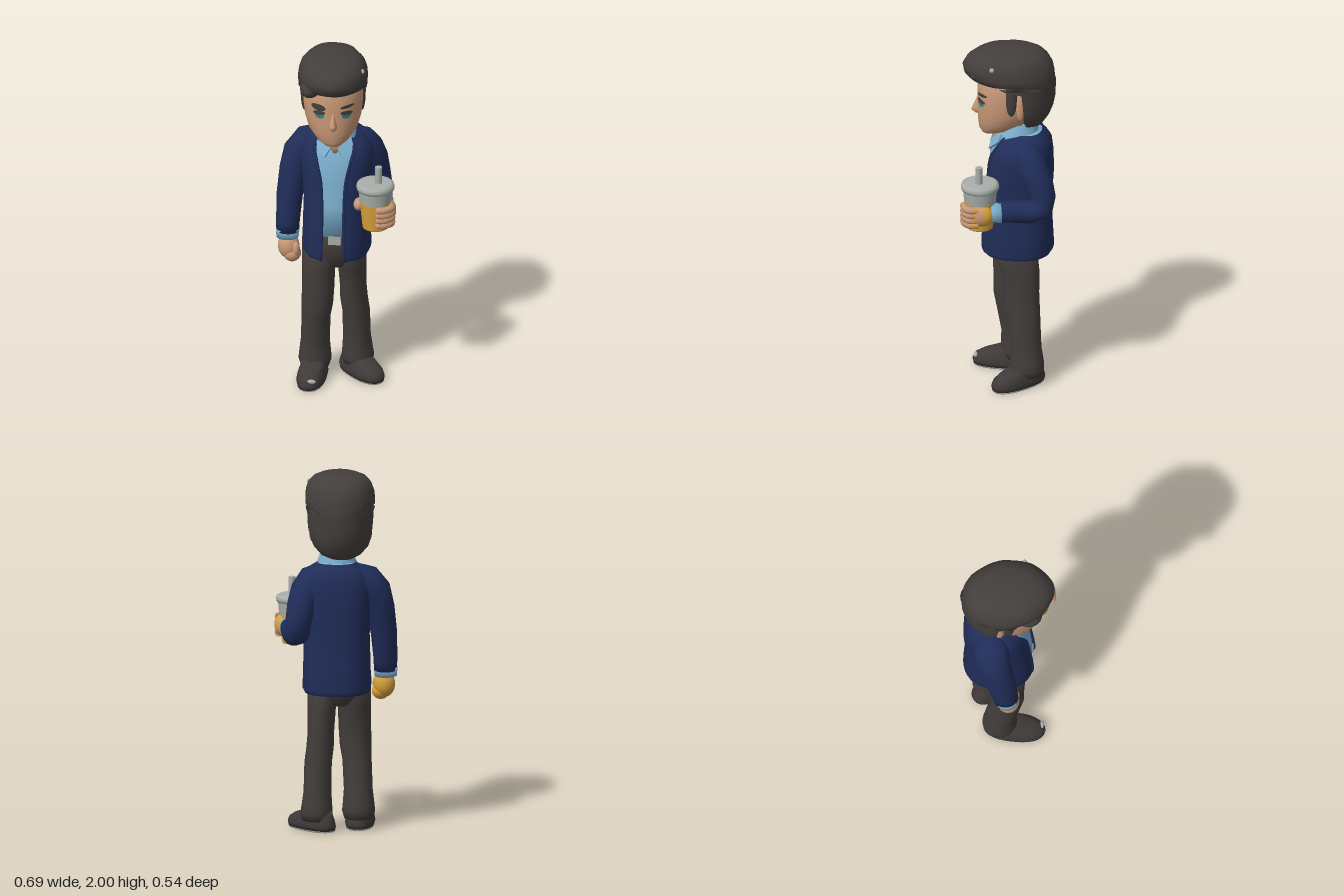
import * as THREE from 'three';
import { mergeVertices } from 'three/addons/utils/BufferGeometryUtils.js';

const mat = (name, color, side = THREE.DoubleSide) => {
  const m = new THREE.MeshStandardMaterial({ color, side });
  m.name = name;
  return m;
};

// Rings [x, y, z, rx, rz, gapAngle] joined into a smooth skin; gap leaves the front open.
function loft(rings, { n = 28, e = 1, bend = false, caps = true } = {}) {
  const list = caps
    ? [[...rings[0].slice(0, 3), 0, 0], ...rings, [...rings.at(-1).slice(0, 3), 0, 0]]
    : rings;
  const at = i => new THREE.Vector3(...list[Math.max(0, Math.min(list.length - 1, i))].slice(0, 3));
  const up = new THREE.Vector3(0, 1, 0), q = new THREE.Quaternion();
  const pow = v => Math.sign(v) * Math.abs(v) ** e;
  const pos = [], idx = [];
  list.forEach(([, , , rx, rz, gap = 0], i) => {
    if (bend) q.setFromUnitVectors(up, at(i + 1).sub(at(i - 1)).normalize());
    for (let j = 0; j <= n; j++) {
      const a = gap + (2 * Math.PI - 2 * gap) * j / n;
      const p = new THREE.Vector3(rx * pow(Math.sin(a)), 0, rz * pow(Math.cos(a)));
      pos.push(...p.applyQuaternion(q).add(at(i)).toArray());
      if (i && j) {
        const d = i * (n + 1) + j, c = d - 1, b = d - n - 1, o = b - 1;
        idx.push(o, b, d, o, d, c);
      }
    }
  });
  let g = new THREE.BufferGeometry();
  g.setAttribute('position', new THREE.Float32BufferAttribute(pos, 3));
  g.setIndex(idx);
  g = mergeVertices(g);
  g.computeVertexNormals();
  return g;
}

// Sorts faces into two material groups: front and rear facing.
function splitRear(g) {
  const sets = [[], []], ix = g.index.array, nor = g.attributes.normal;
  for (let i = 0; i < ix.length; i += 3) {
    const z = (nor.getZ(ix[i]) + nor.getZ(ix[i + 1]) + nor.getZ(ix[i + 2])) / 3;
    sets[z < -0.15 ? 1 : 0].push(ix[i], ix[i + 1], ix[i + 2]);
  }
  g.setIndex([...sets[0], ...sets[1]]);
  g.addGroup(0, sets[0].length, 0);
  g.addGroup(sets[0].length, sets[1].length, 1);
  return g;
}

export function createModel() {
  const root = new THREE.Group();
  const skin = mat('skin', 0xc99877), hair = mat('hair', 0x443f3d), navy = mat('navy cloth', 0x202d59);
  const blue = mat('light blue cloth', 0x7db0cf), dark = mat('dark trousers', 0x423d3b);
  const grey = mat('light grey', 0xa8aeaa), amber = mat('amber', 0xd6a03c), teal = mat('teal eye', 0x1f8a7c);
  const shoe = mat('dark shoe', 0x3f3a39);
  const add = (name, geo, m, parent = root) => {
    const mesh = new THREE.Mesh(geo, m);
    mesh.name = name;
    parent.add(mesh);
    return mesh;
  };
  const ball = (name, m, p, s, parent) => {
    const g = new THREE.SphereGeometry(1, 20, 14).scale(...s);
    const b = add(name, Array.isArray(m) ? splitRear(g) : g, m, parent);
    b.position.set(...p);
    return b;
  };

  // Trousers
  add('rightLeg', loft([[-.13, .06, -.03, .08, .09], [-.13, .1, -.03, .092, .097], [-.13, .14, -.03, .088, .094],
    [-.128, .22, -.025, .08, .087], [-.12, .38, .0, .081, .09], [-.112, .46, .01, .088, .094], [-.108, .55, .01, .09, .093],
    [-.105, .68, .005, .092, .103], [-.1, .85, -.02, .1, .13]]), dark);
  add('leftLeg', loft([[.1, .06, -.1, .08, .09], [.1, .1, -.1, .09, .097], [.098, .14, -.1, .085, .094],
    [.095, .22, -.095, .077, .086], [.092, .38, -.085, .076, .09], [.082, .46, -.073, .076, .098], [.077, .55, -.07, .073, .097],
    [.073, .68, -.06, .078, .108], [.065, .85, -.02, .09, .13]]), dark);
  add('hips', loft([[-.015, .7, -.03, .08, .09], [-.015, .78, -.035, .165, .14], [-.012, .94, -.04, .17, .172]]), dark);
  add('beltBuckle', new THREE.BoxGeometry(.07, .05, .02), grey).position.set(0, .905, .137);

  // Shoes with pale soles
  for (const [name, x, z, turn] of [['rightShoe', -.135, .05, -.05], ['leftShoe', .128, -.055, .75]]) {
    const g = new THREE.Group();
    g.name = name;
    g.position.set(x, 0, z);
    g.rotation.y = turn;
    root.add(g);
    add('upper', loft([[0, .008, 0, .077, .168], [0, .03, 0, .082, .173], [0, .06, -.003, .076, .163],
      [0, .085, -.02, .067, .135], [0, .115, -.06, .06, .08]], { e: .85 }), shoe, g);
    add('sole', loft([[0, 0, 0, .075, .165], [0, .009, 0, .077, .168]], { e: .85 }), grey, g);
  }
  ball('toeScuff', grey, [-.12, .058, .203], [.025, .012, .012]);

  // Jacket: [y, z, rx, rz, half width of the front opening]
  const coat = [[.775, -.04, .178, .185, .068], [.8, -.042, .19, .198, .066], [.95, -.04, .186, .192, .062],
    [1.1, -.045, .182, .185, .062], [1.25, -.055, .194, .184, .07], [1.37, -.06, .208, .177, .095],
    [1.44, -.07, .19, .158, .11], [1.48, -.075, .15, .132, .095], [1.51, -.08, .105, .095, .075]];
  const E = .85, openAngle = (g, rx) => Math.asin((g / rx) ** (1 / E));
  add('jacket', loft(coat.map(([y, z, rx, rz, g]) => [-.01, y, z, rx, rz, openAngle(g, rx)]),
    { n: 40, e: E, caps: false }), navy);
  add('shirt', loft(coat.slice(2).map(([y, z, rx, rz], i) => [-.01, i ? y : .925, z, rx - .014, rz - .008]),
    { n: 32, e: E }), blue);
  for (const s of [-1, 1]) {
    const edge = coat.map(([y, z, rx, rz, g]) =>
      new THREE.Vector3(-.01 + s * g, y, z - .004 + rz * Math.cos(openAngle(g, rx)) ** E));
    add('lapelEdge', new THREE.TubeGeometry(new THREE.CatmullRomCurve3(edge), 30, .009, 8), navy);
  }

  // Neck and shirt collar
  add('neck', loft([[-.005, 1.42, .03, .025, .065], [-.005, 1.47, .025, .048, .078], [-.01, 1.56, .01, .065, .08]]), skin);
  add('collar', loft([[-.01, 1.42, -.035, .135, .135, .45], [-.01, 1.48, -.035, .118, .125, .38],
    [-.01, 1.53, -.045, .1, .105, .5], [-.01, 1.565, -.05, .09, .09, .8]], { caps: false }), blue);
  for (const s of [-1, 1]) {
    const flap = new THREE.Shape([[.015, .005], [.05, -.05], [.105, .03], [.09, .075]].map(([x, y]) => new THREE.Vector2(s * x, y)));
    const f = add('collarFlap', new THREE.ExtrudeGeometry(flap, { depth: .012, bevelEnabled: false }), blue);
    f.position.set(-.008, 1.45, .1);
    f.rotation.set(-.5, s * .35, 0);
  }

  // Arm hanging down
  const limb = pts => loft(pts.map(([x, y, z, r, r2 = r]) => [x, y, z, r, r2]), { n: 20, bend: true });
  const handSkin = [skin, amber];
  add('rightSleeve', limb([[-.277, .89, .012, .064, .07], [-.277, .95, .005, .066, .074], [-.27, 1.1, -.015, .073, .084],
    [-.25, 1.25, -.045, .08, .092], [-.225, 1.35, -.065, .086, .098], [-.18, 1.415, -.08, .08, .1], [-.1, 1.455, -.085, .055, .08]]), navy);
  add('rightCuff', limb([[-.278, .855, .016, .062, .063], [-.278, .905, .012, .066, .068]]), blue);
  ball('rightHand', handSkin, [-.27, .805, .025], [.06, .075, .06]);
  ball('rightFingers', handSkin, [-.25, .765, .035], [.05, .048, .052]);
  ball('rightThumb', handSkin, [-.225, .8, .06], [.022, .045, .025]);

  // Bent arm
  add('leftSleeve', limb([[.252, 1.115, .045, .057], [.24, 1.115, -.03, .062], [.222, 1.11, -.13, .066],
    [.207, 1.125, -.19, .072], [.196, 1.19, -.197, .073], [.18, 1.28, -.172, .08], [.155, 1.36, -.13, .086],
    [.12, 1.42, -.105, .08], [.06, 1.46, -.09, .055]]), navy);
  add('leftCuff', limb([[.268, 1.113, .085, .05], [.257, 1.114, .03, .059]]), blue);
  ball('leftPalm', handSkin, [.3, 1.11, .14], [.044, .064, .075]);
  for (let i = 0; i < 4; i++) {
    const y = 1.06 + i * .03;
    const path = new THREE.CatmullRomCurve3([[.318, .15], [.323, .195], [.29, .228], [.26, .236]]
      .map(([x, z]) => new THREE.Vector3(x, y, z)));
    add('leftFinger', splitRear(new THREE.TubeGeometry(path, 10, .021, 8)), handSkin);
    ball('leftFingertip', skin, [.26, y, .236], [.02, .02, .021]);
  }
  ball('leftThumb', skin, [.137, 1.14, .14], [.03, .035, .045]);

  // Drink
  const cup = new THREE.Group();
  cup.name = 'drink';
  cup.position.set(.23, 0, .148);
  root.add(cup);
  const lathe = pts => new THREE.LatheGeometry(pts.map(p => new THREE.Vector2(...p)), 28);
  add('cupBody', lathe([[0, 1.01], [.07, 1.01], [.072, 1.015], [.088, 1.17]]), amber, cup);
  add('cupTop', lathe([[.088, 1.17], [.095, 1.24]]), grey, cup);
  add('lid', lathe([[.088, 1.236], [.102, 1.242], [.107, 1.258], [.102, 1.276], [.085, 1.284], [0, 1.284]]), grey, cup);
  add('straw', new THREE.CylinderGeometry(.02, .02, .1, 10), grey, cup).position.set(.018, 1.33, .004);

  // Head, turned slightly
  const head = new THREE.Group();
  head.name = 'head';
  head.position.x = -.025;
  head.rotation.y = .12;
  root.add(head);
  const skull = [[0, 1.49, .11, .05, .05], [0, 1.515, .075, .09, .1], [0, 1.57, .035, .135, .147],
    [0, 1.64, .02, .157, .165], [0, 1.72, .01, .166, .174], [0, 1.82, .005, .168, .178], [0, 1.9, 0, .13, .14]];
  add('face', loft(skull, { n: 36 }), skin, head);
  add('nose', loft([[0, 1.602, .168, .016, .03], [0, 1.618, .17, .025, .048], [0, 1.635, .17, .023, .045],
    [0, 1.67, .168, .015, .03], [0, 1.71, .165, .009, .018]]), skin, head);
  const faceZ = (x, y) => {
    const i = skull.findIndex(r => r[1] > y), a = skull[i - 1], b = skull[i];
    const t = (y - a[1]) / (b[1] - a[1]), mix = k => a[k] + (b[k] - a[k]) * t;
    return mix(2) + mix(4) * Math.sqrt(1 - (x / mix(3)) ** 2);
  };
  // Thin patch laid on the face
  const patch = (name, m, x, y, w, h, tilt, lift) => {
    const g = new THREE.CircleGeometry(.5, 20).scale(w, h, 1).rotateZ(tilt).translate(x, y, 0);
    const p = g.attributes.position;
    for (let i = 0; i < p.count; i++) p.setZ(i, faceZ(p.getX(i), p.getY(i)) + lift);
    g.computeVertexNormals();
    add(name, g, m, head);
  };
  for (const s of [-1, 1]) {
    patch('lash', hair, s * .076, 1.705, .068, .026, s * -.1, .006);
    patch('eye', teal, s * .074, 1.688, .05, .036, 0, .004);
    patch('eyebrow', hair, s * .08, s < 0 ? 1.737 : 1.742, .08, s < 0 ? .04 : .02, s * .1, .005);
    ball('ear', skin, [s * .162, 1.7, -.048], [.014, .078, .024], head);
    ball('sideburn', hair, [s * .16, 1.755, .002], [.02, .11, .032], head);
  }

  // Hair: open around the face, full above it
  const locks = loft([[0, 1.535, -.115, .06, .05, 1.4], [0, 1.555, -.09, .11, .095, 1.5], [0, 1.6, -.055, .153, .16, 1.65],
    [0, 1.65, -.03, .174, .203, 1.75], [0, 1.71, -.008, .184, .236, 1.8], [0, 1.78, -.002, .189, .246, 1.78],
    [0, 1.805, -.004, .191, .246, 1.4], [0, 1.828, -.01, .192, .235], [0, 1.86, .006, .193, .25], [0, 1.9, .014, .189, .25],
    [0, 1.94, .014, .176, .226], [0, 1.97, .008, .15, .19], [0, 1.99, .005, .105, .14], [0, 2, 0, 0, 0]], { n: 56, caps: false });
  const hp = locks.attributes.position;
  for (let i = 0; i < hp.count; i++) {
    const a = Math.atan2(hp.getX(i), hp.getZ(i)), k = 1 + .012 * Math.sin(7 * a + hp.getY(i) * 14);
    hp.setXYZ(i, hp.getX(i) * k, hp.getY(i), hp.getZ(i) * k);
  }
  locks.computeVertexNormals();
  add('hair', locks, hair, head);
  ball('fringeLock', hair, [-.125, 1.835, .115], [.06, .055, .075], head).rotation.z = .5;
  ball('fringeLock', hair, [.02, 1.86, .17], [.11, .045, .075], head).rotation.z = .1;
  ball('hairFleck', grey, [.163, 1.93, .11], [.012, .014, .014], head);
  return root;
}
